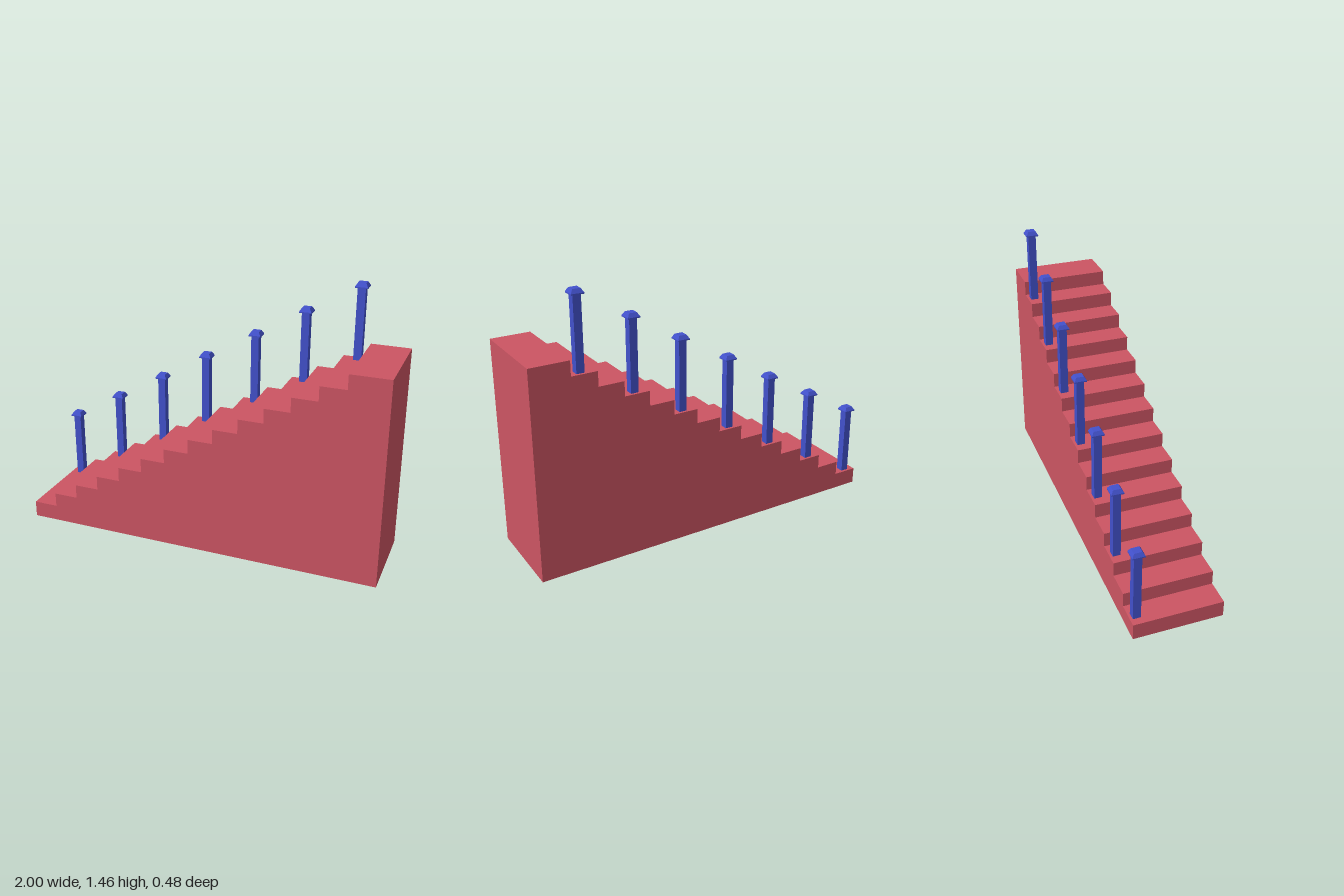
import * as THREE from 'three';

const STEPS = 14, RUN = 0.1377, RISE = 0.08, FIRST = 0.09, DEPTH = 0.48;
const POST_X = [-0.94, -0.655, -0.375, -0.105, 0.18, 0.453, 0.735];
const POST_Z = -0.205;

const red = new THREE.MeshStandardMaterial({ color: 0xcc5563, flatShading: true });
const blue = new THREE.MeshStandardMaterial({ color: 0x4251cc, flatShading: true });

function part(name, geometry, material, y = 0) {
  const mesh = new THREE.Mesh(geometry, material);
  mesh.name = name;
  mesh.position.y = y;
  return mesh;
}

// Square tapered block given by its bottom and top widths
function frustum(bottom, top, height) {
  const g = new THREE.CylinderGeometry(top * Math.SQRT1_2, bottom * Math.SQRT1_2, height, 4);
  return g.rotateY(Math.PI / 4);
}

// Solid staircase: stepped side profile extruded across the width
function createStairs() {
  const profile = new THREE.Shape();
  profile.moveTo(-1, 0);
  profile.lineTo(1, 0);
  for (let i = STEPS - 1; i >= 0; i--) {
    const y = FIRST + i * RISE;
    profile.lineTo(i === STEPS - 1 ? 1 : -1 + (i + 1) * RUN, y);
    profile.lineTo(-1 + i * RUN, y);
  }
  profile.closePath();
  const g = new THREE.ExtrudeGeometry(profile, { depth: DEPTH, bevelEnabled: false });
  return part('staircase', g.translate(0, 0, -DEPTH / 2), red);
}

// Square post with a thin rim and a tapered cap
function createPost() {
  const post = new THREE.Group();
  post.name = 'railingPost';
  post.add(
    part('postShaft', new THREE.BoxGeometry(0.042, 0.382, 0.042), blue, 0.191),
    part('capRim', new THREE.BoxGeometry(0.066, 0.006, 0.066), blue, 0.385),
    part('capTop', frustum(0.066, 0.042, 0.02), blue, 0.398)
  );
  return post;
}

export function createModel() {
  const model = new THREE.Group();
  model.name = 'stairsWithPosts';
  model.add(createStairs());

  // One post on every second tread, along the back edge
  POST_X.forEach((x, i) => {
    const post = createPost();
    post.position.set(x, FIRST + 2 * i * RISE, POST_Z);
    model.add(post);
  });
  return model;
}
